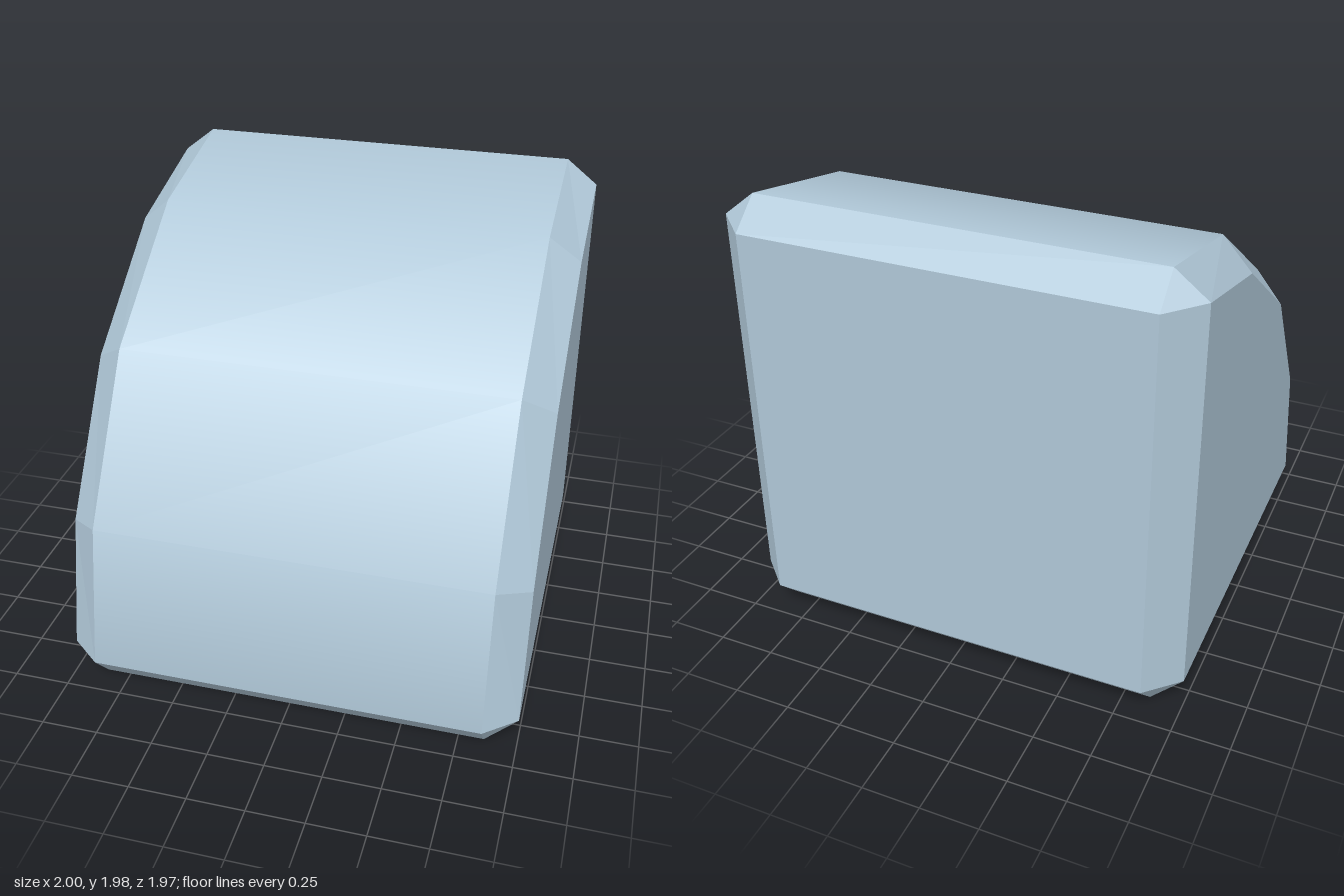
import * as THREE from 'three';

// Curve stations as [z, y]: outer edge at x = ±0.86 and side panel edge at x = ±1
const OUTER = [[0.985, 0.14], [0.86, 0.77], [0.43, 1.42], [-0.22, 1.85], [-0.85, 1.98]];
const INNER = [[0.87, 0.14], [0.74, 0.72], [0.33, 1.32], [-0.27, 1.73], [-0.85, 1.87]];
const W = 0.86, S = 1;

// Flat convex polygons, each wound to face away from the middle of the block
function facets(polygons) {
  const centre = new THREE.Vector3(0, 0.8, -0.2);
  const pos = [];
  for (const poly of polygons) {
    const p = poly.map((c) => new THREE.Vector3(...c));
    const n = p[1].clone().sub(p[0]).cross(p[2].clone().sub(p[0]));
    if (n.dot(p[0].clone().sub(centre)) < 0) p.reverse();
    for (let i = 1; i < p.length - 1; i++) {
      for (const v of [p[0], p[i], p[i + 1]]) pos.push(v.x, v.y, v.z);
    }
  }
  const g = new THREE.BufferGeometry();
  g.setAttribute('position', new THREE.Float32BufferAttribute(pos, 3));
  g.computeVertexNormals();
  return g;
}

// Smooth curved panel with radial normals
function curvedPanel() {
  const pos = [], normal = [], index = [];
  OUTER.forEach(([z, y], i) => {
    const a = (i / (OUTER.length - 1)) * Math.PI / 2;
    for (const x of [-W, W]) {
      pos.push(x, y, z);
      normal.push(0, Math.sin(a), Math.cos(a));
    }
    if (i) {
      const b = 2 * i;
      index.push(b - 2, b - 1, b + 1, b - 2, b + 1, b);
    }
  });
  const g = new THREE.BufferGeometry();
  g.setAttribute('position', new THREE.Float32BufferAttribute(pos, 3));
  g.setAttribute('normal', new THREE.Float32BufferAttribute(normal, 3));
  g.setIndex(index);
  return g;
}

export function createModel() {
  const group = new THREE.Group();
  group.name = 'quarterRoundBlock';
  const paint = new THREE.MeshStandardMaterial({ color: 0xb0c8d8 });
  paint.name = 'paleBlue';
  const add = (name, geometry) => {
    const mesh = new THREE.Mesh(geometry, paint);
    mesh.name = name;
    group.add(mesh);
  };
  // Strip across the full width between two [z, y] points
  const across = ([z0, y0], [z1, y1]) => [[-W, y0, z0], [W, y0, z0], [W, y1, z1], [-W, y1, z1]];
  const backTop = [-0.985, 1.86], backLow = [-0.985, 0.14];
  const baseBack = [-0.85, 0], baseFront = [0.87, 0];

  add('curvedFront', curvedPanel());
  add('backPanel', facets([across(backTop, backLow)]));
  add('base', facets([across(baseBack, baseFront)]));
  add('crossBevels', facets([
    across(OUTER[4], backTop), across(backLow, baseBack), across(baseFront, OUTER[0]),
  ]));

  // Side panels with their bevels and corner facets
  for (const [side, s] of [['left', 1], ['right', -1]]) {
    const edge = ([z, y]) => [s * W, y, z];
    const face = ([z, y]) => [s * S, y, z];
    const corner = [-0.85, 0.14];
    add(side + 'Panel', facets([[...INNER, corner].map(face)]));
    const bevels = INNER.slice(1).map((p, i) =>
      [face(INNER[i]), face(p), edge(OUTER[i + 1]), edge(OUTER[i])]);
    bevels.push(
      [face(INNER[4]), face(corner), edge(backLow), edge(backTop)],
      [face(corner), face(INNER[0]), edge(baseFront), edge(baseBack)],
    );
    add(side + 'Bevels', facets(bevels));
    add(side + 'Corners', facets([
      [face(INNER[4]), edge(OUTER[4]), edge(backTop)],
      [face(corner), edge(backLow), edge(baseBack)],
      [face(INNER[0]), edge(OUTER[0]), edge(baseFront)],
    ]));
  }
  return group;
}
